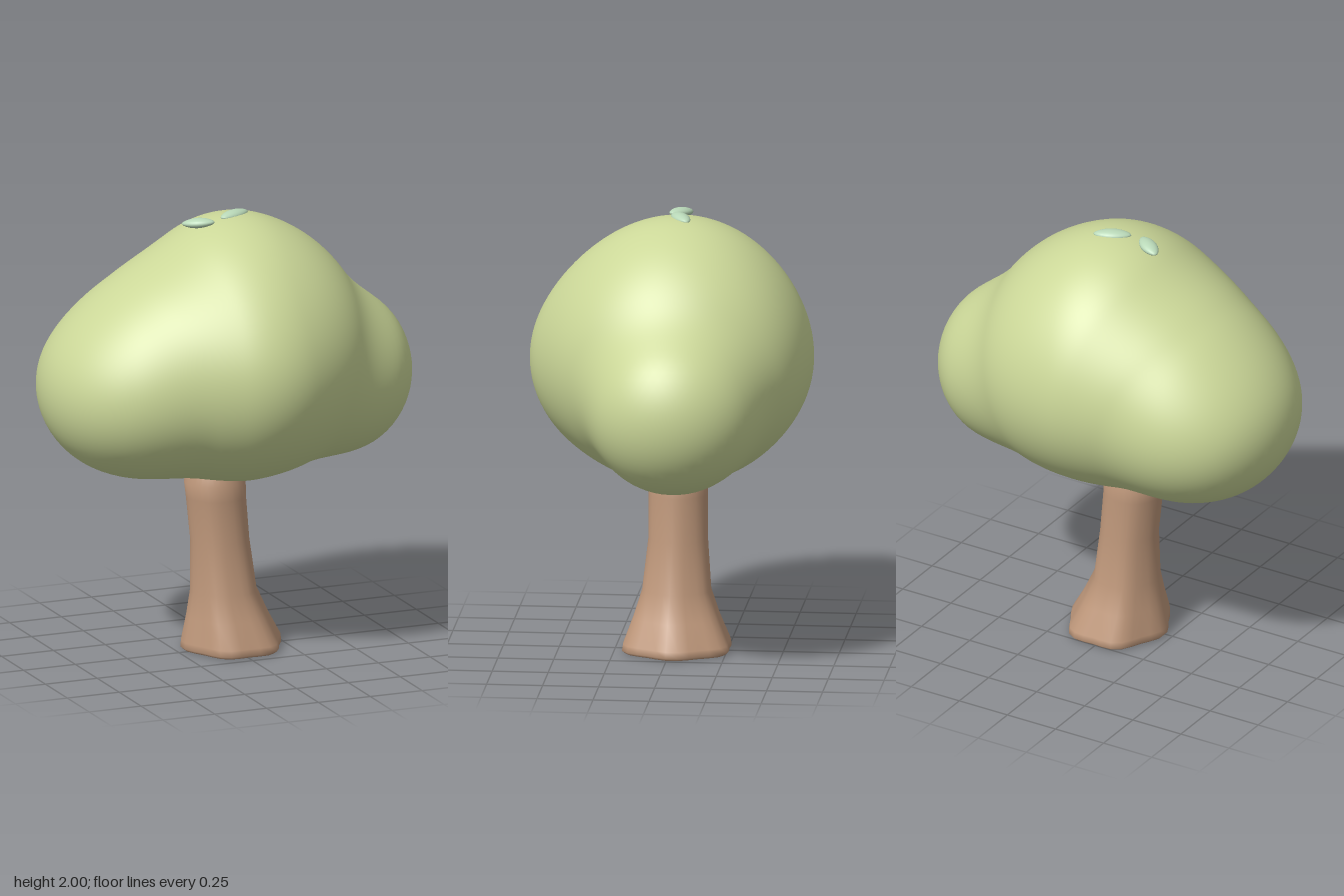
import * as THREE from 'three';
import { mergeVertices } from 'three/addons/utils/BufferGeometryUtils.js';

// Weld a geometry, move each vertex by a rule and give it smooth normals.
function reshape(geometry, rule) {
  geometry.deleteAttribute('normal');
  geometry.deleteAttribute('uv');
  const welded = mergeVertices(geometry, 1e-5);
  const pos = welded.attributes.position;
  const v = new THREE.Vector3();
  for (let i = 0; i < pos.count; i++) {
    rule(v.fromBufferAttribute(pos, i));
    pos.setXYZ(i, v.x, v.y, v.z);
  }
  welded.computeVertexNormals();
  return welded;
}

function part(name, geometry, color) {
  const mesh = new THREE.Mesh(geometry, new THREE.MeshStandardMaterial({ color }));
  mesh.name = name;
  return mesh;
}

// Foliage lobes, centre and radii: body, crown, two shoulders, two side lobes
const LOBES = [
  [[0, 1.33, 0], [0.5, 0.54, 0.63]],
  [[0.04, 1.43, -0.04], [0.49, 0.553, 0.53]],
  [[-0.28, 1.32, -0.04], [0.44, 0.475, 0.52]],
  [[0.25, 1.33, -0.05], [0.39, 0.495, 0.51]],
  [[-0.46, 1.235, -0.06], [0.408, 0.395, 0.48]],
  [[0.51, 1.215, -0.06], [0.355, 0.38, 0.38]],
];

// Smoothly blended distance to the lobes
function foliageField(p) {
  const k = 0.11;
  let field = Infinity;
  for (const [c, r] of LOBES) {
    const q = Math.hypot((p.x - c[0]) / r[0], (p.y - c[1]) / r[1], (p.z - c[2]) / r[2]);
    const d = (q - 1) * Math.min(...r);
    const h = Math.max(k - Math.abs(field - d), 0) / k;
    field = Math.min(field, d) - (h * h * k) / 4;
  }
  return field;
}

// Push every vertex of a ball outwards to the blended surface
function foliageGeometry() {
  const centre = new THREE.Vector3(0, 1.28, 0);
  const p = new THREE.Vector3();
  return reshape(new THREE.IcosahedronGeometry(1, 24), (v) => {
    let near = 0, far = 1.3;
    for (let i = 0; i < 24; i++) {
      const mid = (near + far) / 2;
      if (foliageField(p.copy(v).multiplyScalar(mid).add(centre)) < 0) near = mid;
      else far = mid;
    }
    v.multiplyScalar(near).add(centre);
  });
}

// Trunk rings: height, centre x, centre z, radius x, radius z, root bulge
const RINGS = [
  [0, 0.01, -0.025, 0, 0, 0],
  [0, 0.01, -0.025, 0.222, 0.245, 0.05],
  [0.012, 0.01, -0.025, 0.235, 0.26, 0.05],
  [0.04, 0.009, -0.025, 0.232, 0.255, 0.05],
  [0.15, -0.01, -0.022, 0.19, 0.205, 0.04],
  [0.27, -0.028, -0.021, 0.152, 0.16, 0.025],
  [0.5, -0.043, -0.026, 0.134, 0.136, 0.015],
  [0.7, -0.062, -0.025, 0.136, 0.134, 0.01],
  [0.77, -0.067, -0.025, 0.138, 0.135, 0],
  [0.9, -0.068, -0.025, 0.1, 0.1, 0],
  [0.93, -0.068, -0.025, 0, 0, 0],
];

function trunkGeometry() {
  const profile = RINGS.map((_, i) => new THREE.Vector2(1, i));
  return reshape(new THREE.LatheGeometry(profile, 30), (v) => {
    const [y, cx, cz, rx, rz, bulge] = RINGS[Math.round(v.y)];
    const swell = (1 + bulge * Math.cos(6 * Math.atan2(v.z, v.x))) / (1 + bulge);
    v.set(cx + v.x * rx * swell, y, cz + v.z * rz * swell);
  });
}

// Small leaf, narrowed at both ends and slightly plump
function leafGeometry(length, width, height) {
  return reshape(new THREE.SphereGeometry(1, 20, 14), (v) => {
    const taper = 1 - 0.2 * v.x * v.x;
    v.set((v.x * length) / 2, (v.y * height * taper) / 2, (v.z * width * taper) / 2);
  });
}

export function createModel() {
  const tree = new THREE.Group();
  tree.name = 'tree';
  tree.add(part('trunk', trunkGeometry(), 0xbf987b));
  tree.add(part('foliage', foliageGeometry(), 0xcbd798));

  // Two loose leaves resting on the crown
  const leaves = [
    ['leftLeaf', 0.17, [0.035, 1.978, -0.045], 0.45, 0],
    ['rightLeaf', 0.15, [-0.145, 1.962, -0.03], -0.6, 0.1],
  ];
  for (const [name, length, position, turn, tilt] of leaves) {
    const leaf = part(name, leafGeometry(length, 0.075, 0.044), 0xb9d8b8);
    leaf.position.set(...position);
    leaf.rotation.set(0, turn, tilt);
    tree.add(leaf);
  }
  return tree;
}
